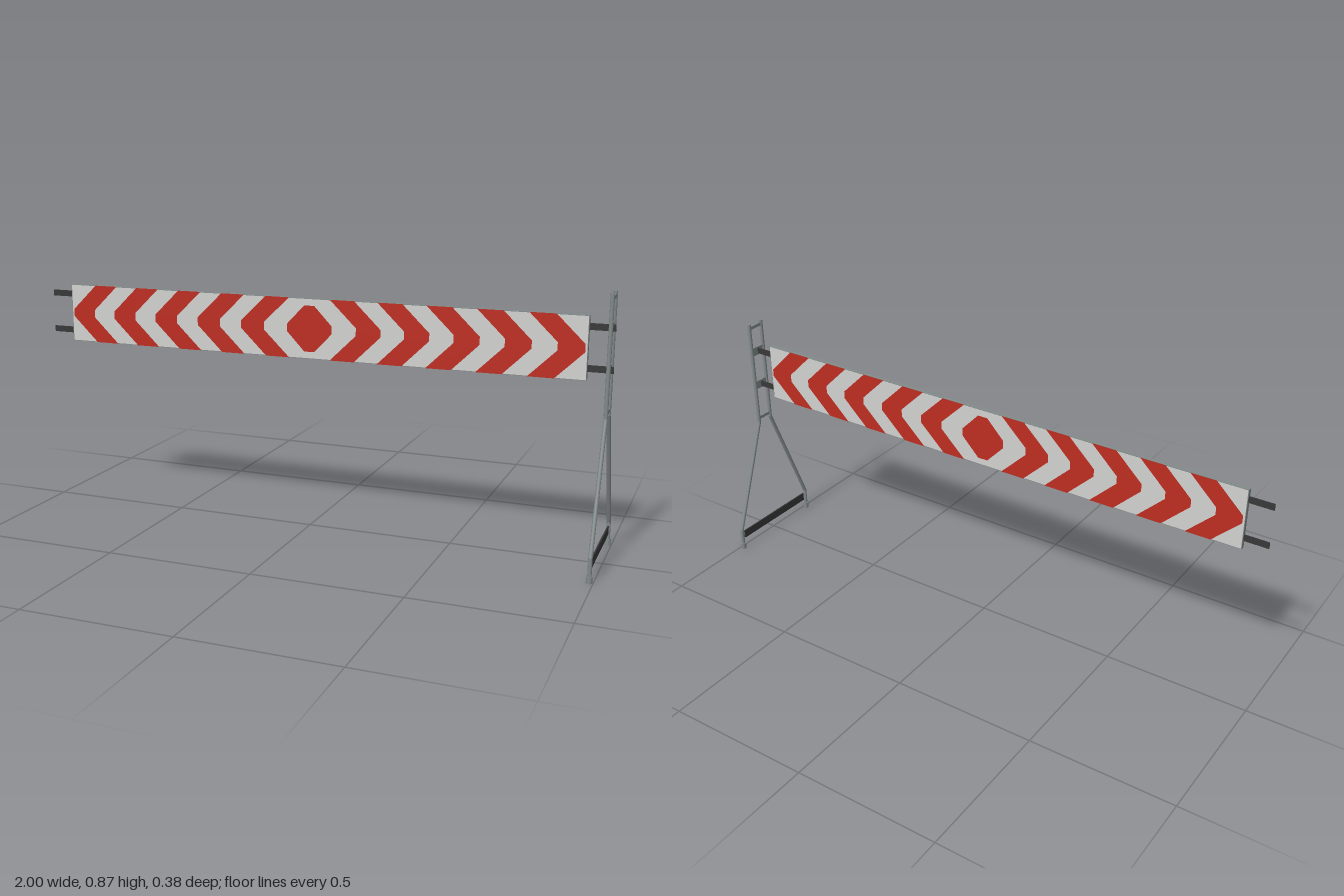
import * as THREE from 'three';

const paint = (name, color) => {
  const m = new THREE.MeshStandardMaterial({ color });
  m.name = name;
  return m;
};

export function createModel() {
  const steel = paint('steel grey', 0x838b8b);
  const dark = paint('dark rubber', 0x383838);
  const white = paint('reflective white', 0xd2d2d0);
  const red = paint('reflective red', 0xbe2d21);

  const model = new THREE.Group();
  model.name = 'chevronBarrier';

  const add = (parent, name, geometry, material, x = 0, y = 0, z = 0) => {
    const mesh = new THREE.Mesh(geometry, material);
    mesh.name = name;
    mesh.position.set(x, y, z);
    parent.add(mesh);
    return mesh;
  };
  const box = (parent, name, w, h, d, material, x, y, z) =>
    add(parent, name, new THREE.BoxGeometry(w, h, d), material, x, y, z);

  // Board, centred at its own origin
  const board = new THREE.Group();
  board.name = 'board';
  board.position.y = 0.69;
  model.add(board);
  const halfW = 0.92, halfH = 0.102;
  box(board, 'boardCore', halfW * 2, halfH * 2, 0.014, steel, 0, 0, 0);

  // Red shapes: blunt-tipped chevrons either side of a central diamond
  const shapeFrom = pts => new THREE.Shape(pts.map(p => new THREE.Vector2(...p)));
  const blunt = 0.013, slant = 0.092, band = 0.085;
  const shapes = [shapeFrom([
    [0.08, -blunt], [0.08, blunt], [0.018, 0.078], [-0.018, 0.078],
    [-0.08, blunt], [-0.08, -blunt], [-0.018, -0.078], [0.018, -0.078],
  ])];
  for (const side of [1, -1]) {
    for (let i = 0; i < 5; i++) {
      const tip = 0.25 + 0.1655 * i;
      const pts = [
        [tip, -blunt], [tip, blunt], [tip - slant, halfH], [tip - slant - band, halfH],
        [tip - band, blunt], [tip - band, -blunt],
        [tip - slant - band, -halfH], [tip - slant, -halfH],
      ];
      shapes.push(shapeFrom(pts.map(([x, y]) => [side * x, y])));
    }
  }

  // Both faces carry the same pattern
  for (const s of [1, -1]) {
    const face = new THREE.Group();
    face.name = s > 0 ? 'frontFace' : 'backFace';
    face.rotation.y = s > 0 ? 0 : Math.PI;
    board.add(face);
    box(face, 'whitePanel', halfW * 2 - 0.004, halfH * 2 - 0.004, 0.001, white, 0, 0, 0.007);
    add(face, 'redChevrons', new THREE.ShapeGeometry(shapes), red, 0, 0, 0.0082);
  }

  // Flat rails sticking out of both ends of the board
  const railHeights = [0.757, 0.626];
  for (const y of railHeights) {
    for (const s of [1, -1]) box(model, 'rail', 0.09, 0.021, 0.004, dark, s * 0.955, y, 0);
  }

  // Stand at the left end
  const stand = new THREE.Group();
  stand.name = 'stand';
  stand.position.x = 0.988;
  model.add(stand);
  const radius = 0.0067;
  const up = new THREE.Vector3(0, 1, 0);

  for (const s of [1, -1]) {
    const leg = new THREE.Group();
    leg.name = s > 0 ? 'frontLeg' : 'backLeg';
    stand.add(leg);
    const path = [[0.867, 0.03], [0.478, 0.03], [0.08, 0.182], [0.005, 0.182]]
      .map(([y, z]) => new THREE.Vector3(0, y, s * z));
    for (let i = 0; i < path.length - 1; i++) {
      const dir = path[i].clone().sub(path[i + 1]);
      const mid = path[i].clone().add(path[i + 1]).multiplyScalar(0.5);
      const tube = add(leg, 'tube', new THREE.CylinderGeometry(radius, radius, dir.length(), 12),
        steel, mid.x, mid.y, mid.z);
      tube.quaternion.setFromUnitVectors(up, dir.normalize());
      if (i > 0) add(leg, 'bend', new THREE.SphereGeometry(radius, 12, 8), steel, ...path[i].toArray());
    }
    add(leg, 'foot', new THREE.CylinderGeometry(0.01, 0.01, 0.022, 12), steel, 0, 0.011, s * 0.182);
  }

  // Rungs, rail brackets and the lower dark bar
  for (const y of [0.852, 0.495]) box(stand, 'rung', 0.008, 0.011, 0.05, steel, 0, y, 0);
  for (const y of railHeights) box(stand, 'railBracket', 0.005, 0.03, 0.048, steel, 0, y, 0);
  box(stand, 'lowerBar', 0.005, 0.03, 0.339, dark, 0, 0.055, 0);

  return model;
}
